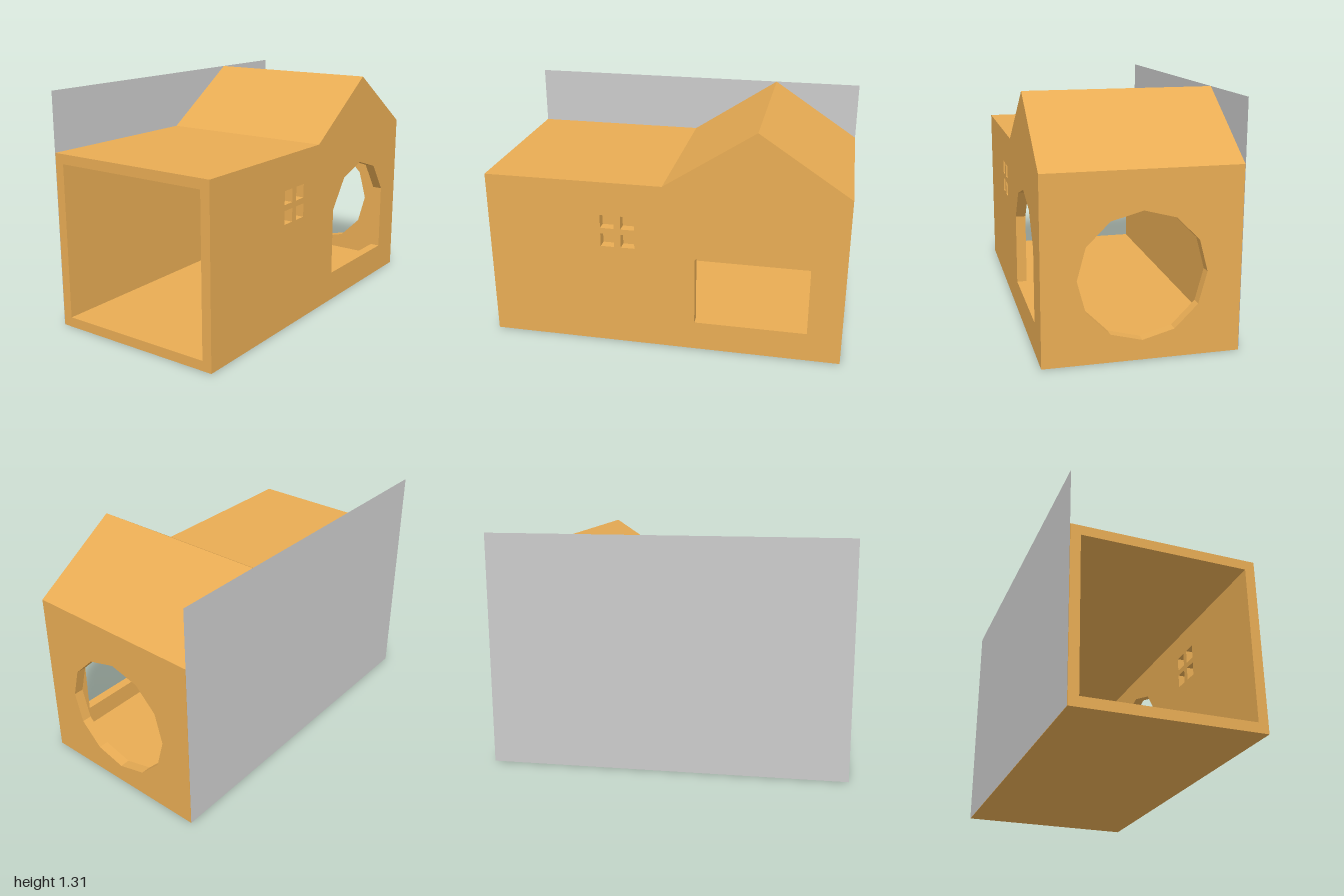
import * as THREE from 'three';

const W = 1, D = 0.515, EAVE = 0.98, RIDGE = 1.31, T = 0.055;
const wood = new THREE.MeshStandardMaterial({ color: 0xe8ac54, flatShading: true });
const grey = new THREE.MeshStandardMaterial({ color: 0xcccccc, side: THREE.DoubleSide });

const points = (list) => list.map(([x, y]) => new THREE.Vector2(x, y));
const rect = (x0, y0, x1, y1) => [[x0, y0], [x1, y0], [x1, y1], [x0, y1]];

// Flat board cut from an outline with openings, extruded towards +z
function board(name, outline, holes, depth) {
  const shape = new THREE.Shape(points(outline));
  holes.forEach((h) => shape.holes.push(new THREE.Path(points(h))));
  const geo = new THREE.ExtrudeGeometry(shape, { depth, bevelEnabled: false });
  const mesh = new THREE.Mesh(geo, wood);
  mesh.name = name;
  return mesh;
}

export function createModel() {
  const house = new THREE.Group();
  house.name = 'house';
  const facade = [[-W, 0], [W, 0], [W, EAVE], [0.5, RIDGE], [0, EAVE], [-W, EAVE]];

  // Front wall with arched doorway and four small window panes
  const door = [[0.18, 0.17], [0.81, 0.17], [0.81, 0.56], [0.69, 0.73], [0.5, 0.79], [0.305, 0.73], [0.18, 0.56]];
  const panes = [];
  for (const x of [-0.35, -0.235])
    for (const y of [0.6, 0.71]) panes.push(rect(x, y, x + 0.077, y + 0.077));
  const front = board('frontWall', facade, [door, ...panes], T);
  front.position.z = D - T;

  // Back wall
  const back = board('backWall', facade, [], T);
  back.position.z = -D;

  // Floor and gabled roof span between the two long walls; the -x end stays open
  const span = 2 * (D - T);
  const floor = board('floor', rect(-W, 0, W, T), [], span);
  const roof = board('roof',
    [[-W, EAVE - T], [W, EAVE - T], [W, EAVE], [0.5, RIDGE], [0, EAVE], [-W, EAVE]], [], span);
  floor.position.z = roof.position.z = -span / 2;

  // End wall with a twelve-sided opening
  const opening = Array.from({ length: 12 }, (_, i) => {
    const a = (i * Math.PI) / 6;
    return [0.335 * Math.cos(a), 0.44 + 0.335 * Math.sin(a)];
  });
  const end = board('endWall', rect(-span / 2, T, span / 2, EAVE - T), [opening], T);
  end.rotation.y = Math.PI / 2;
  end.position.x = W - T;

  // Thin backing panel, just clear of the back wall
  const panel = new THREE.Mesh(new THREE.PlaneGeometry(2 * W, RIDGE), grey);
  panel.name = 'backPanel';
  panel.position.set(0, RIDGE / 2, -D - 0.002);

  house.add(front, back, floor, roof, end, panel);
  return house;
}
